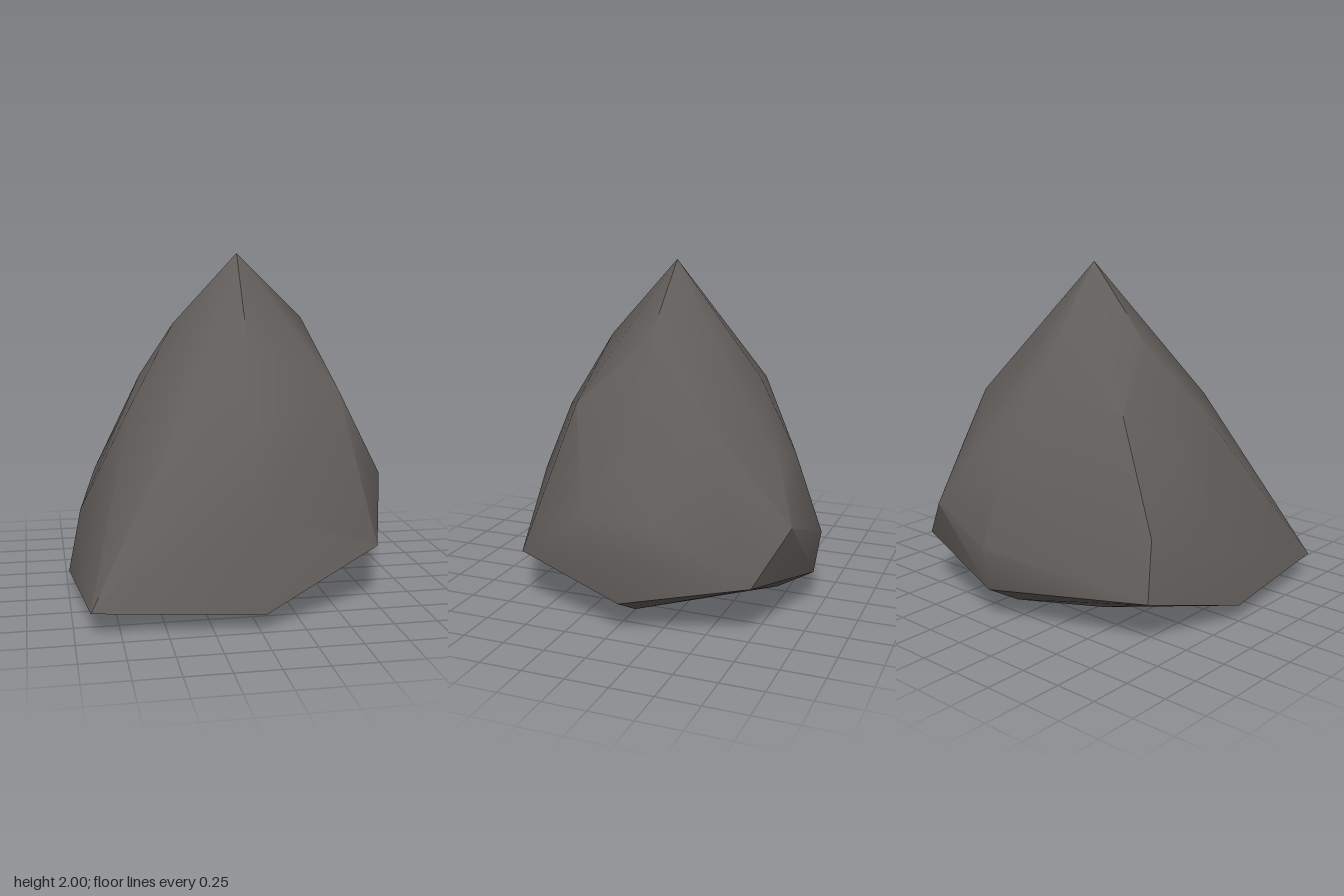
import * as THREE from 'three';
import { toCreasedNormals } from 'three/addons/utils/BufferGeometryUtils.js';
import { ConvexGeometry } from 'three/addons/geometries/ConvexGeometry.js';

// Corner points of the boulder, grouped by height
const peak = [
  [0.06, 2, -0.06],
  [-0.33, 1.58, -0.08], [0.04, 1.53, 0.37], [0.46, 1.61, -0.06], [0.06, 1.34, -0.58],
];
const shoulders = [
  [-0.63, 1.1, 0.18], [-0.34, 1.16, 0.52], [0.04, 1.07, 0.66], [0.59, 1.22, 0.35],
  [0.78, 0.99, -0.06], [0.62, 1.21, -0.44], [0.36, 0.93, -0.79], [0.08, 0.91, -0.81],
  [-0.5, 1.22, -0.45], [-0.66, 0.98, -0.15],
];
const flanks = [
  [-0.74, 0.74, 0.29], [0.04, 0.63, 0.85], [0.91, 0.66, 0.18], [0.93, 0.66, -0.25],
  [0.73, 0.85, -0.55], [0.53, 0.61, -0.92], [-0.79, 0.6, -0.55], [-0.91, 0.44, -0.1],
  [0.985, 0.47, -0.06], [0.09, 0.45, -0.98],
];
const rim = [
  [0.03, 0.09, 0.975], [0.76, 0.34, 0.64], [0.96, 0.2, -0.06], [0.79, 0.33, -0.77],
  [0.09, 0.19, -0.94], [-0.85, 0.27, -0.65], [-0.99, 0.09, 0.01], [-0.91, 0.13, 0.9],
];
const underside = [
  [0.07, 0, -0.06], [0.72, 0.07, -0.06], [0.05, 0.05, 0.65], [-0.63, 0.04, 0], [0.08, 0.06, -0.72],
  [0.45, 0.045, 0.33], [-0.36, 0.05, -0.45],
];

export function createModel() {
  const group = new THREE.Group();
  group.name = 'rock';

  const stone = new THREE.MeshStandardMaterial({ color: 0x625e5b });
  stone.name = 'dark grey stone';

  // Wrap the points in a faceted shell, softened except along strong edges
  const points = [...peak, ...shoulders, ...flanks, ...rim, ...underside]
    .map((p) => new THREE.Vector3(...p));
  const shell = new ConvexGeometry(points);
  const boulder = new THREE.Mesh(toCreasedNormals(shell, 0.65), stone);
  boulder.name = 'boulder';
  group.add(boulder);

  return group;
}
